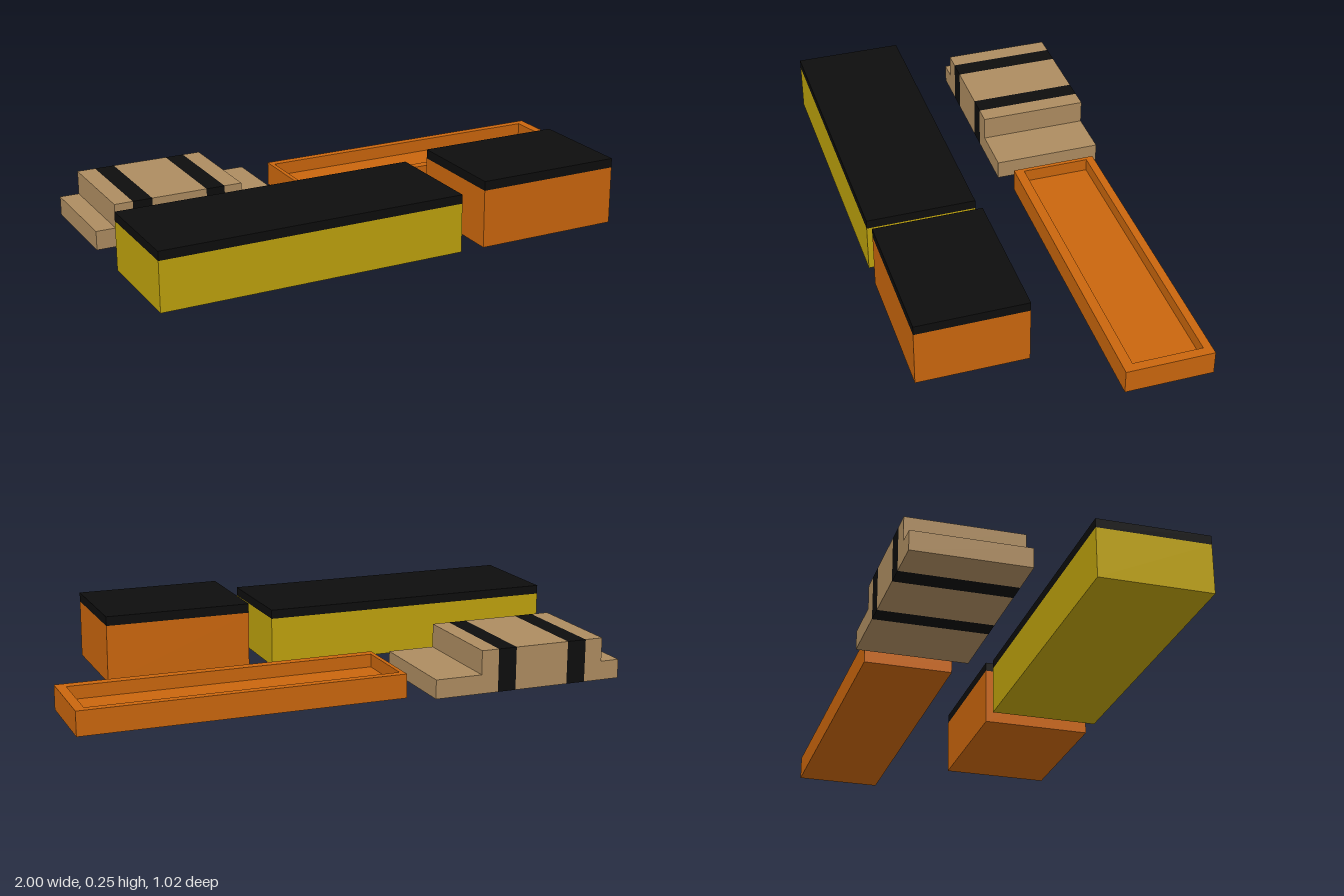
import * as THREE from 'three';

const mat = (name, color) => {
  const m = new THREE.MeshStandardMaterial({ color });
  m.name = name;
  return m;
};

export function createModel() {
  const model = new THREE.Group();
  model.name = 'containerSet';
  const black = mat('black', 0x0d0d0d);
  const orange = mat('orange', 0xca660d);
  const yellow = mat('yellow', 0xbea20d);
  const tan = mat('tan', 0xad8c60);

  const group = (name) => {
    const g = new THREE.Group();
    g.name = name;
    model.add(g);
    return g;
  };
  // Box given by its extents on each axis
  const box = (parent, name, material, [x0, x1], [y0, y1], [z0, z1]) => {
    const mesh = new THREE.Mesh(new THREE.BoxGeometry(x1 - x0, y1 - y0, z1 - z0), material);
    mesh.position.set((x0 + x1) / 2, (y0 + y1) / 2, (z0 + z1) / 2);
    mesh.name = name;
    parent.add(mesh);
  };
  const shapeOf = (pts) => new THREE.Shape(pts.map(([x, y]) => new THREE.Vector2(x, y)));

  // Two lidded boxes at the front
  const frontZ = [0.105, 0.508];
  const longBox = group('longBox');
  box(longBox, 'longBoxBody', yellow, [-1, 0.12], [0, 0.18], frontZ);
  box(longBox, 'longBoxLid', black, [-1, 0.12], [0.18, 0.213], frontZ);
  const shortBox = group('shortBox');
  box(shortBox, 'shortBoxBody', orange, [0.21, 0.75], [0, 0.212], frontZ);
  box(shortBox, 'shortBoxLid', black, [0.21, 0.75], [0.212, 0.246], frontZ);

  // Open tray: a floor slab with a rim extruded upwards around it
  const tray = group('tray');
  const floorY = 0.04, trayH = 0.088;
  box(tray, 'trayFloor', orange, [-0.178, 1], [0, floorY], [-0.458, -0.14]);
  const rim = shapeOf([[-0.178, 0.14], [1, 0.14], [1, 0.458], [-0.178, 0.458]]);
  rim.holes.push(shapeOf([[-0.162, 0.176], [0.965, 0.176], [0.965, 0.428], [-0.162, 0.428]]));
  const rimGeo = new THREE.ExtrudeGeometry(rim, { depth: trayH - floorY, bevelEnabled: false });
  rimGeo.rotateX(-Math.PI / 2).translate(0, floorY, 0);
  const rimMesh = new THREE.Mesh(rimGeo, orange);
  rimMesh.name = 'trayRim';
  tray.add(rimMesh);

  // Stepped block, banded by two stripes through its full section
  const block = group('steppedBlock');
  const z0 = -0.508, z1 = -0.105, step = 0.07, top = 0.158;
  const end = (name, outer, riser, inner) => {
    const shape = shapeOf([[outer, 0], [inner, 0], [inner, top], [riser, top], [riser, step], [outer, step]]);
    const geo = new THREE.ExtrudeGeometry(shape, { depth: z1 - z0, bevelEnabled: false });
    const mesh = new THREE.Mesh(geo.translate(0, 0, z0), tan);
    mesh.name = name;
    block.add(mesh);
  };
  end('blockNarrowEnd', -1, -0.928, -0.86);
  box(block, 'blockBandRight', black, [-0.86, -0.787], [0, top], [z0, z1]);
  box(block, 'blockMiddle', tan, [-0.787, -0.58], [0, top], [z0, z1]);
  box(block, 'blockBandLeft', black, [-0.58, -0.51], [0, top], [z0, z1]);
  end('blockWideEnd', -0.267, -0.444, -0.51);

  return model;
}
